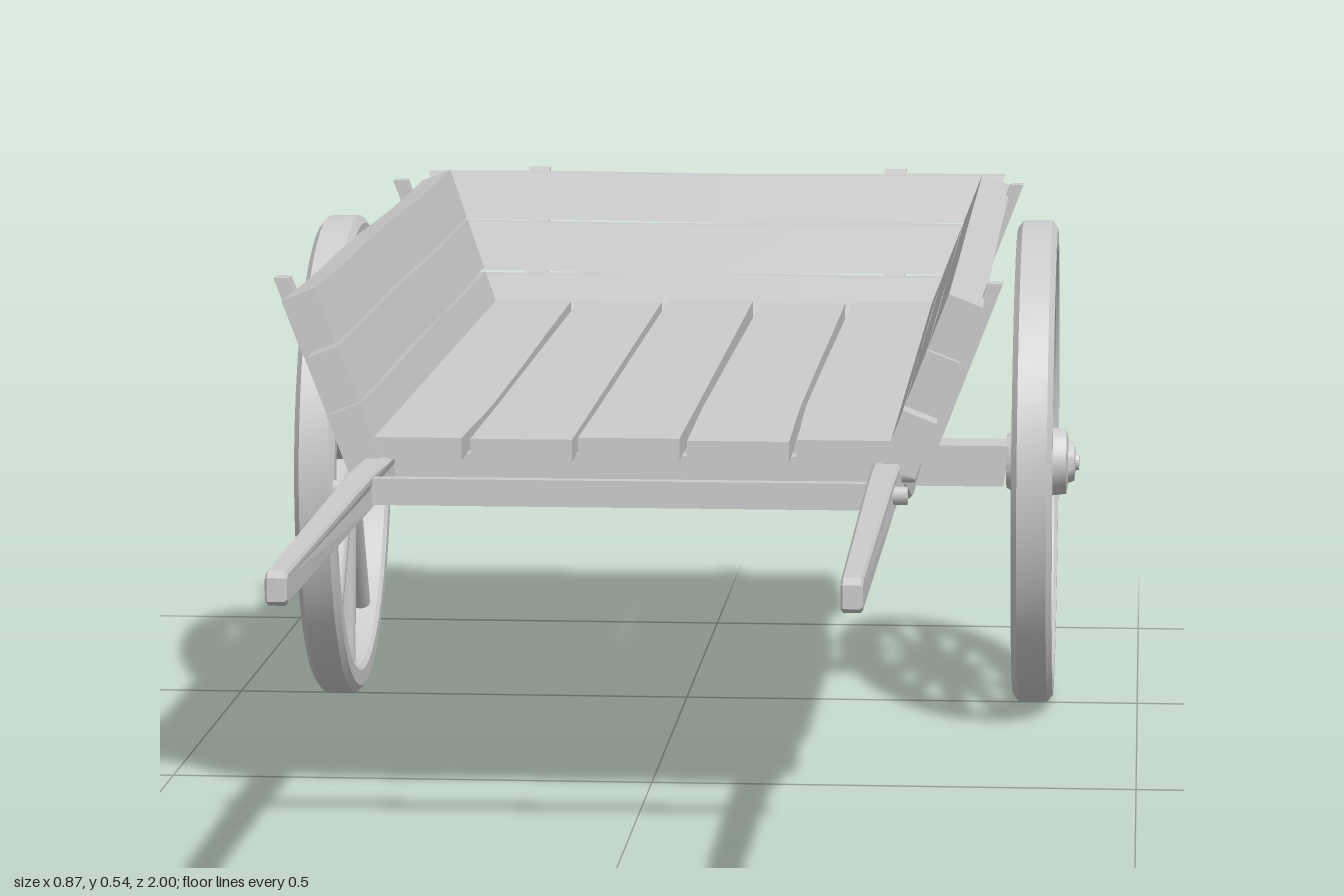
import * as THREE from 'three';
import { toCreasedNormals } from 'three/addons/utils/BufferGeometryUtils.js';

const material = new THREE.MeshStandardMaterial({ color: 0xcccccc, side: THREE.DoubleSide });

// small seeded wobble for rough timber
let seed = 7;
const wobble = (amount) => {
  seed = (seed * 16807) % 2147483647;
  return (seed / 2147483647 - 0.5) * 2 * amount;
};

export function createModel() {
  const cart = new THREE.Group();
  cart.name = 'handcart';

  const add = (parent, name, geometry, x = 0, y = 0, z = 0) => {
    const mesh = new THREE.Mesh(geometry, material);
    mesh.name = name;
    mesh.position.set(x, y, z);
    parent.add(mesh);
    return mesh;
  };
  const box = (name, w, h, d, x, y, z) => add(cart, name, new THREE.BoxGeometry(w, h, d), x, y, z);

  // a block whose corners (each -1 or 1, subdivided along one axis) are placed by a rule
  const slab = (name, rule, nx = 1, nz = 1) => {
    const g = new THREE.BoxGeometry(2, 2, 2, nx, 1, nz);
    const p = g.attributes.position;
    for (let i = 0; i < p.count; i++) p.setXYZ(i, ...rule(p.getX(i), p.getY(i), p.getZ(i)));
    g.computeVertexNormals();
    return add(cart, name, g);
  };

  // slopes of the side walls and the tailboard
  const sideX = (y) => 0.258 + 0.385 * (y - 0.4);
  const tailZ = (y) => -0.915 - 0.3 * (y - 0.39);
  const edges = [0.37, 0.428, 0.486, 0.543];

  // floor planks
  for (let i = 0; i < 5; i++) {
    const x = -0.215 + i * 0.1065;
    const front = 0.263 + wobble(0.004);
    const bend = wobble(0.0025), lift = wobble(0.003), slim = wobble(0.0015);
    slab('floorPlank', (u, v, w) => [
      x + u * (0.0497 + slim * w) + bend * Math.cos(w * 3),
      0.386 + lift + v * 0.011,
      w > 0 ? w * front : w * 0.92,
    ], 1, 6);
  }

  // side walls of three sloping planks with outer posts
  for (const s of [-1, 1]) {
    for (let i = 0; i < 3; i++) {
      const lo = edges[i] + 0.0015, hi = edges[i + 1] - 0.0015;
      const front = 0.265 + wobble(0.003), phase = wobble(3);
      slab('sidePlank', (u, v, w) => {
        const out = u * s > 0;
        const y = (v > 0 ? hi : lo) + 0.0012 * Math.sin(w * 5 + phase);
        const back = tailZ(y);
        const z = back + (front - back) * (w + 1) / 2;
        return [s * (sideX(y) + (out ? 0.033 : 0)), y - (out ? 0.01 : -0.003), z];
      }, 1, 8);
    }
    for (const z of [0.183, -0.828]) {
      slab('sidePost', (u, v, w) => {
        const y = v > 0 ? 0.546 : 0.368;
        return [s * (sideX(y) + (u * s > 0 ? 0.049 : 0.034)), y, z + w * 0.0125];
      });
    }
  }

  // sloping tailboard with battens
  for (let i = 0; i < 3; i++) {
    const lo = edges[i] + 0.0015, hi = edges[i + 1] - 0.0015, phase = wobble(3);
    slab('tailPlank', (u, v, w) => {
      const y = (v > 0 ? hi : lo) + 0.0012 * Math.sin(u * 4 + phase);
      return [u * (sideX(y) + 0.026), y, tailZ(y) - (w > 0 ? 0 : 0.024)];
    }, 6);
  }
  for (const s of [-1, 1]) {
    slab('tailBatten', (u, v, w) => {
      const y = v > 0 ? 0.546 : 0.365;
      return [s * 0.21 + u * 0.0125, y, tailZ(y) - (w > 0 ? 0.024 : 0.038)];
    });
  }

  // shafts: slim handles that deepen into the bed beams
  const outline = new THREE.Shape();
  outline.moveTo(1, 0.352);
  outline.lineTo(0.99, 0.347);
  outline.lineTo(0.4, 0.345);
  outline.lineTo(0.2, 0.34);
  outline.bezierCurveTo(0.08, 0.335, 0, 0.292, -0.1, 0.291);
  outline.lineTo(-0.64, 0.289);
  outline.bezierCurveTo(-0.7, 0.295, -0.73, 0.335, -0.79, 0.35);
  outline.lineTo(-0.9, 0.355);
  outline.lineTo(-0.9, 0.375);
  outline.lineTo(0.25, 0.375);
  outline.lineTo(0.4, 0.38);
  outline.lineTo(0.99, 0.378);
  outline.lineTo(1, 0.373);
  for (const s of [-1, 1]) {
    const g = new THREE.ExtrudeGeometry(outline, {
      depth: 0.022, bevelEnabled: true, bevelSize: 0.003, bevelOffset: -0.003,
      bevelThickness: 0.003, bevelSegments: 1, curveSegments: 6,
    });
    g.translate(0, 0, -0.011);
    g.rotateY(-Math.PI / 2);
    const p = g.attributes.position;
    for (let i = 0; i < p.count; i++) {
      const t = Math.max(0, p.getZ(i) - 0.25) / 0.75;
      p.setX(i, p.getX(i) * (1 - 0.3 * t));
    }
    g.computeVertexNormals();
    add(cart, 'shaft', g, s * 0.252);

    // peg ends on the outside of the shafts
    for (const [z, y] of [[0.4, 0.364], [0.208, 0.358]]) {
      const peg = new THREE.CylinderGeometry(0.009, 0.009, 0.022, 8);
      peg.rotateZ(Math.PI / 2);
      add(cart, 'peg', peg, s * 0.267, y, z);
    }
  }

  // cross members
  box('frontRung', 0.49, 0.026, 0.014, 0, 0.363, 0.4);
  for (const z of [0.208, 0.055, -0.42, -0.83]) {
    box('crossBeam', 0.5, 0.028, 0.025, 0, 0.361, z);
  }

  // axle with bolster and bolts
  const axleY = 0.268, axleZ = -0.525;
  slab('axleBeam', (u, v, w) => [
    u * (v > 0 ? 0.356 : 0.35), 0.266 + v * 0.0225, axleZ + w * 0.03,
  ]);
  box('bolster', 0.456, 0.086, 0.045, 0, 0.332, axleZ);
  for (const x of [-0.19, -0.14, -0.07, 0.07, 0.13, 0.18]) {
    const long = Math.abs(x) > 0.17;
    add(cart, 'axleBolt', new THREE.CylinderGeometry(0.008, 0.006, 0.02, 8), x, long ? 0.242 : 0.248, axleZ);
  }

  // wheels, turned about the x axis
  const turned = (profile, sides) => {
    const g = new THREE.LatheGeometry(profile.map(([r, h]) => new THREE.Vector2(r, h)), sides);
    g.rotateZ(-Math.PI / 2);
    return toCreasedNormals(g, 0.5);
  };
  const rim = turned([
    [0.236, -0.018], [0.241, -0.022], [0.258, -0.022], [0.266, -0.016],
    [0.266, 0.016], [0.258, 0.022], [0.241, 0.022], [0.236, 0.018], [0.236, -0.018],
  ], 48);
  const hub = turned([
    [0, -0.032], [0.03, -0.032], [0.034, -0.024], [0.039, -0.01], [0.039, 0.01],
    [0.036, 0.034], [0.024, 0.036], [0.021, 0.043], [0.01, 0.044], [0.009, 0.048], [0, 0.048],
  ], 20);
  const spoke = new THREE.CylinderGeometry(0.0105, 0.014, 0.215, 10);
  spoke.translate(0, 0.1375, 0);
  for (const s of [-1, 1]) {
    const wheel = new THREE.Group();
    wheel.name = s > 0 ? 'leftWheel' : 'rightWheel';
    wheel.position.set(s * 0.385, axleY, axleZ);
    wheel.rotation.y = s > 0 ? 0 : Math.PI;
    add(wheel, 'rim', rim);
    add(wheel, 'hub', hub);
    for (let i = 0; i < 10; i++) {
      add(wheel, 'spoke', spoke).rotation.x = (i * Math.PI) / 5;
    }
    cart.add(wheel);
  }

  return cart;
}
